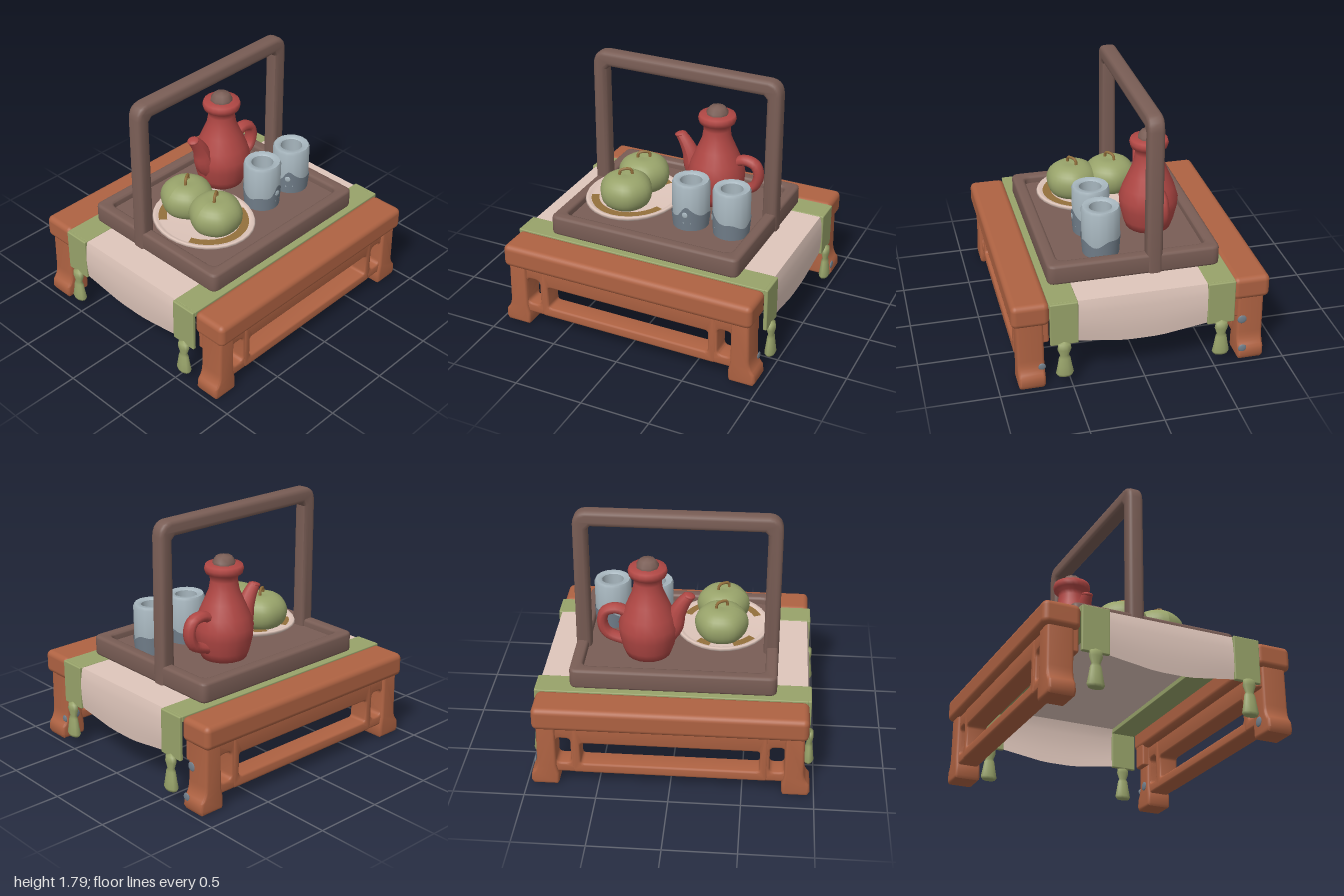
import * as THREE from 'three';
import { toCreasedNormals } from 'three/addons/utils/BufferGeometryUtils.js';
import { RoundedBoxGeometry } from 'three/addons/geometries/RoundedBoxGeometry.js';

const V = (x, y, z) => new THREE.Vector3(x, y, z);
const material = (name, color, side = THREE.FrontSide) => {
  const m = new THREE.MeshStandardMaterial({ color, side });
  m.name = name;
  return m;
};

// Closed rounded rectangle, usable as an outline or as a hole
function roundRect(x0, x1, y0, y1, r, Type) {
  const p = new Type();
  p.moveTo(x0 + r, y0).lineTo(x1 - r, y0).quadraticCurveTo(x1, y0, x1, y0 + r);
  p.lineTo(x1, y1 - r).quadraticCurveTo(x1, y1, x1 - r, y1);
  p.lineTo(x0 + r, y1).quadraticCurveTo(x0, y1, x0, y1 - r);
  p.lineTo(x0, y0 + r).quadraticCurveTo(x0, y0, x0 + r, y0);
  return p;
}

// Soft-edged extrusion centred on z = 0
function slab(shape, depth, bevel) {
  const g = new THREE.ExtrudeGeometry(shape, {
    depth: depth - 2 * bevel, bevelEnabled: true, bevelSize: bevel,
    bevelThickness: bevel, bevelOffset: -bevel, bevelSegments: 3, curveSegments: 5,
  });
  g.translate(0, 0, -depth / 2 + bevel);
  return toCreasedNormals(g, 0.7);
}

// Frame with one rounded opening
function frame(outer, inner, r, depth, bevel) {
  const shape = roundRect(...outer, r, THREE.Shape);
  shape.holes.push(roundRect(...inner, r, THREE.Path));
  return slab(shape, depth, bevel);
}

const lathe = (pts, sides) =>
  new THREE.LatheGeometry(pts.map(([r, y]) => new THREE.Vector2(r, y)), sides);

// Rounded box given by its limits on each axis
function block(x0, x1, y0, y1, z0, z1, r) {
  const g = new RoundedBoxGeometry(x1 - x0, y1 - y0, z1 - z0, 3, r);
  g.translate((x0 + x1) / 2, (y0 + y1) / 2, (z0 + z1) / 2);
  return g;
}

// Sheet draped over the table from side to side, hanging lowest in the middle
function drape(halfWidth) {
  const g = new THREE.PlaneGeometry(2, 1, 40, 12);
  const p = g.attributes.position;
  for (let i = 0; i < p.count; i++) {
    const u = p.getX(i), a = Math.abs(u), z = -2 * halfWidth * p.getY(i);
    const drop = 0.348 - 0.05 * Math.max(0, (Math.abs(z) - 0.12) / (halfWidth - 0.12));
    if (a < 0.601) p.setXYZ(i, (u / 0.6) * 0.935, 0.634, z);
    else {
      const t = (a - 0.6) / 0.4;
      p.setXYZ(i, Math.sign(u) * (0.942 + 0.012 * Math.sin(t * Math.PI)), 0.626 - t * drop, z);
    }
  }
  return toCreasedNormals(g, 0.8);
}

export function createModel() {
  const model = new THREE.Group();
  const wood = material('orange wood', 0xae6242);
  const dark = material('dark wood', 0x795d55);
  const linen = material('pale linen', 0xdfc6bb, THREE.DoubleSide);
  const green = material('sage green', 0x98a36a);
  const red = material('red glaze', 0xb04744);
  const blue = material('pale blue glaze', 0xa7b6be);
  const slate = material('slate glaze', 0x727f8b, THREE.DoubleSide);
  const ochre = material('ochre', 0x94703c, THREE.DoubleSide);

  const add = (name, geo, mat, x = 0, y = 0, z = 0, parent = model) => {
    const m = new THREE.Mesh(geo, mat);
    m.name = name;
    m.position.set(x, y, z);
    parent.add(m);
    return m;
  };

  // Table: each long side has a beam, three open frames and two flared legs
  const legShape = new THREE.Shape();
  legShape.moveTo(0.785, 0).lineTo(0.955, 0).lineTo(0.972, 0.03).lineTo(0.965, 0.09);
  legShape.quadraticCurveTo(0.925, 0.13, 0.925, 0.2).lineTo(0.92, 0.49).lineTo(0.79, 0.49);
  legShape.lineTo(0.79, 0.16).lineTo(0.775, 0.09).lineTo(0.775, 0.02);
  const legGeo = slab(legShape, 0.185, 0.02);
  const wideFrame = frame([-0.675, 0.675, 0.1, 0.5], [-0.62, 0.62, 0.175, 0.345], 0.025, 0.15, 0.015);
  const endFrame = frame([0.635, 0.89, 0.1, 0.5], [0.687, 0.79, 0.175, 0.38], 0.035, 0.148, 0.015);
  for (const turn of [0, Math.PI]) {
    const side = new THREE.Group();
    side.name = 'tableSide';
    side.rotation.y = turn;
    model.add(side);
    add('beam', block(-0.945, 0.945, 0.47, 0.64, 0.638, 0.898, 0.04), wood, 0, 0, 0, side);
    add('wideFrame', wideFrame, wood, 0, 0, 0.775, side);
    for (const flip of [0, Math.PI]) {
      const end = new THREE.Group();
      end.name = 'tableEnd';
      end.position.z = 0.772;
      end.rotation.y = flip;
      side.add(end);
      add('endFrame', endFrame, wood, 0, 0, 0, end);
      add('leg', legGeo, wood, 0, 0, 0, end);
      add('bracket', block(0.79, 0.91, 0.32, 0.5, -0.03, 0.03, 0.015), wood, 0, 0, flip ? 0.1 : -0.1, end);
    }
  }
  // Worn spots on the legs
  for (const [x, y, z, r] of [[0.921, 0.3, -0.715, 0.034], [0.964, 0.09, -0.71, 0.03], [0.935, 0.15, 0.7, 0.026]])
    add('wornSpot', new THREE.SphereGeometry(r, 12, 8), slate, x, y, z).scale.x = 0.25;
  for (const [x, y] of [[0.85, 0.17], [-0.85, 0.1]])
    add('wornSpot', new THREE.SphereGeometry(0.035, 12, 8), slate, x, y, 0.68).scale.z = 0.25;

  // Cloth with thick green borders and tassels
  add('cloth', drape(0.46), linen);
  const tasselGeo = lathe([[0, 0.078], [0.05, 0.08], [0.062, 0.1], [0.05, 0.16], [0.04, 0.22],
    [0.03, 0.24], [0.048, 0.29], [0.042, 0.33], [0, 0.345]], 10);
  tasselGeo.scale(0.62, 1, 1);
  for (const s of [1, -1]) {
    add('clothBorder', block(-0.94, 0.94, 0.598, 0.639, -0.098, 0.098, 0.006), green, 0, 0, s * 0.548);
    for (const side of [1, -1]) {
      add('borderEnd', block(-0.014, 0.014, 0.32, 0.639, -0.097, 0.097, 0.008), green, side * 0.947, 0, s * 0.547);
      add('tassel', tasselGeo, green, side * 0.9615, 0, s * 0.55);
    }
  }

  // Tray
  const rimGeo = frame([-0.72, 0.72, -0.605, 0.605], [-0.635, 0.635, -0.52, 0.52], 0.055, 0.145, 0.02);
  add('trayRim', rimGeo, dark, 0, 0.71, 0).rotation.x = -Math.PI / 2;
  add('trayFloor', new THREE.BoxGeometry(1.36, 0.09, 1.12), dark, 0, 0.685, 0);

  // Tall carrying handle
  const arch = new THREE.Shape();
  arch.moveTo(-0.725, 0.64).lineTo(-0.615, 0.64).lineTo(-0.62, 1.655).lineTo(-0.595, 1.68);
  arch.lineTo(0.595, 1.68).lineTo(0.62, 1.655).lineTo(0.615, 0.64).lineTo(0.725, 0.64);
  arch.lineTo(0.722, 1.69).quadraticCurveTo(0.715, 1.785, 0.63, 1.792);
  arch.lineTo(-0.63, 1.792).quadraticCurveTo(-0.715, 1.785, -0.722, 1.69);
  add('trayHandle', slab(arch, 0.115, 0.03), dark, 0, 0, -0.14);

  // Teapot
  const pot = new THREE.Group();
  pot.name = 'teapot';
  pot.position.set(0.2, 0, -0.228);
  model.add(pot);
  add('potBody', lathe([[0, 0.74], [0.16, 0.74], [0.182, 0.8], [0.205, 0.9], [0.21, 0.97], [0.185, 1.05],
    [0.142, 1.15], [0.108, 1.23], [0.097, 1.3], [0.1, 1.335], [0.13, 1.355], [0.138, 1.385],
    [0.13, 1.412], [0.08, 1.418], [0, 1.418]], 20), red, 0, 0, 0, pot);
  add('potLid', lathe([[0.08, 1.41], [0.08, 1.435], [0.055, 1.47], [0, 1.482]], 9), dark, 0, 0, 0, pot);
  const spout = new THREE.CatmullRomCurve3([V(-0.1, 0.88, 0), V(-0.175, 0.96, 0), V(-0.205, 1.06, 0),
    V(-0.245, 1.14, 0), V(-0.288, 1.2, 0)]);
  const spoutGeo = new THREE.TubeGeometry(spout, 12, 0.04, 10);
  const sp = spoutGeo.attributes.position;
  for (let i = 0; i < sp.count; i++) { // wide at the root, narrow at the tip
    const t = Math.floor(i / 11) / 12, c = spout.getPointAt(t), k = 2.3 - 1.3 * t;
    const v = V().fromBufferAttribute(sp, i).sub(c).multiplyScalar(k).add(c);
    sp.setXYZ(i, v.x, v.y, v.z);
  }
  spoutGeo.computeVertexNormals();
  add('potSpout', spoutGeo, red, 0, 0, 0, pot);
  const tip = add('spoutTip', new THREE.SphereGeometry(0.044, 12, 8), red, -0.288, 1.198, 0, pot);
  tip.scale.y = 0.4;
  tip.rotation.z = 0.25;
  const loop = new THREE.CatmullRomCurve3([V(0.13, 1.05, 0), V(0.22, 1.085, 0), V(0.3, 1.06, 0),
    V(0.325, 0.98, 0), V(0.29, 0.89, 0), V(0.15, 0.83, 0)]);
  add('potHandle', new THREE.TubeGeometry(loop, 20, 0.038, 9), red, 0, 0, -0.01, pot).scale.z = 1.35;

  // Two cups with a wavy darker glaze on the lower wall
  const cupGeo = toCreasedNormals(lathe([[0, 0.74], [0.122, 0.74], [0.132, 0.8], [0.135, 1.07], [0.126, 1.09],
    [0.09, 1.09], [0.079, 1.08], [0.079, 0.86], [0, 0.86]], 16), 0.8);
  const glazeGeo = new THREE.CylinderGeometry(0.138, 0.128, 0.13, 48, 1, true);
  const gp = glazeGeo.attributes.position;
  for (let i = 0; i < gp.count; i++) {
    const a = Math.atan2(gp.getX(i), gp.getZ(i));
    const wave = 0.022 * Math.sin(2 * a + 0.6) + 0.012 * Math.sin(5 * a);
    if (gp.getY(i) > 0) gp.setY(i, 0.056 + wave + 0.045 * Math.exp(-12 * (a - 0.1) ** 2));
  }
  for (const [x, turn] of [[0.19, 0], [0.5, -1.1]]) {
    const cup = add('cup', cupGeo, blue, x, 0, 0.19);
    cup.rotation.y = turn;
    add('cupGlaze', glazeGeo, slate, 0, 0.805, 0, cup);
    add('glazeDot', new THREE.SphereGeometry(0.022, 12, 8), blue, 0.014, 0.868, 0.137, cup).scale.z = 0.2;
    add('tea', new THREE.CylinderGeometry(0.0785, 0.0785, 0.008, 16), dark, 0, 0.9, 0, cup);
  }

  // Oval plate with ochre arcs inside the rim
  const plate = add('plate', lathe([[0, 0.73], [0.2, 0.73], [0.32, 0.78], [0.342, 0.8], [0.335, 0.815],
    [0.312, 0.812], [0.29, 0.795], [0, 0.787]], 32), linen, -0.31, 0, 0.095);
  plate.scale.z = 1.13;
  for (const [start, length] of [[-2.75, 2.4], [1.9, 0.6], [0.95, 0.35]]) {
    const arc = new THREE.RingGeometry(0.245, 0.3, 20, 1, start, length);
    arc.rotateX(-Math.PI / 2);
    add('plateArc', arc, ochre, 0, 0.804, 0, plate);
  }

  // Two lobed green fruits, broad at the base, with looped stems
  const fruitGeo = new THREE.SphereGeometry(1, 30, 16);
  const fp = fruitGeo.attributes.position;
  for (let i = 0; i < fp.count; i++) {
    const x = fp.getX(i), y = fp.getY(i), z = fp.getZ(i), r = Math.hypot(x, z);
    const k = 0.188 * (1 + 0.02 * Math.cos(6 * Math.atan2(z, x)) * r);
    const dimple = y > 0 ? 0.015 * Math.exp(-r * r * 25) : 0;
    const spread = Math.pow(Math.max(r, 1e-4), y > 0 ? -0.22 : -0.5);
    fp.setXYZ(i, x * k * spread, y * 0.13 - dimple, z * k * spread);
  }
  fruitGeo.computeVertexNormals();
  const stemGeo = new THREE.TubeGeometry(new THREE.CatmullRomCurve3([V(-0.04, 0.11, 0.025),
    V(-0.03, 0.155, 0.02), V(0.03, 0.155, -0.02), V(0.04, 0.11, -0.025)]), 10, 0.011, 6);
  for (const [z, y] of [[0.215, 0.905], [-0.07, 0.912]]) {
    const fruit = add('fruit', fruitGeo, green, -0.31, y, z);
    add('fruitStem', stemGeo, ochre, 0, 0, 0, fruit);
  }
  return model;
}
